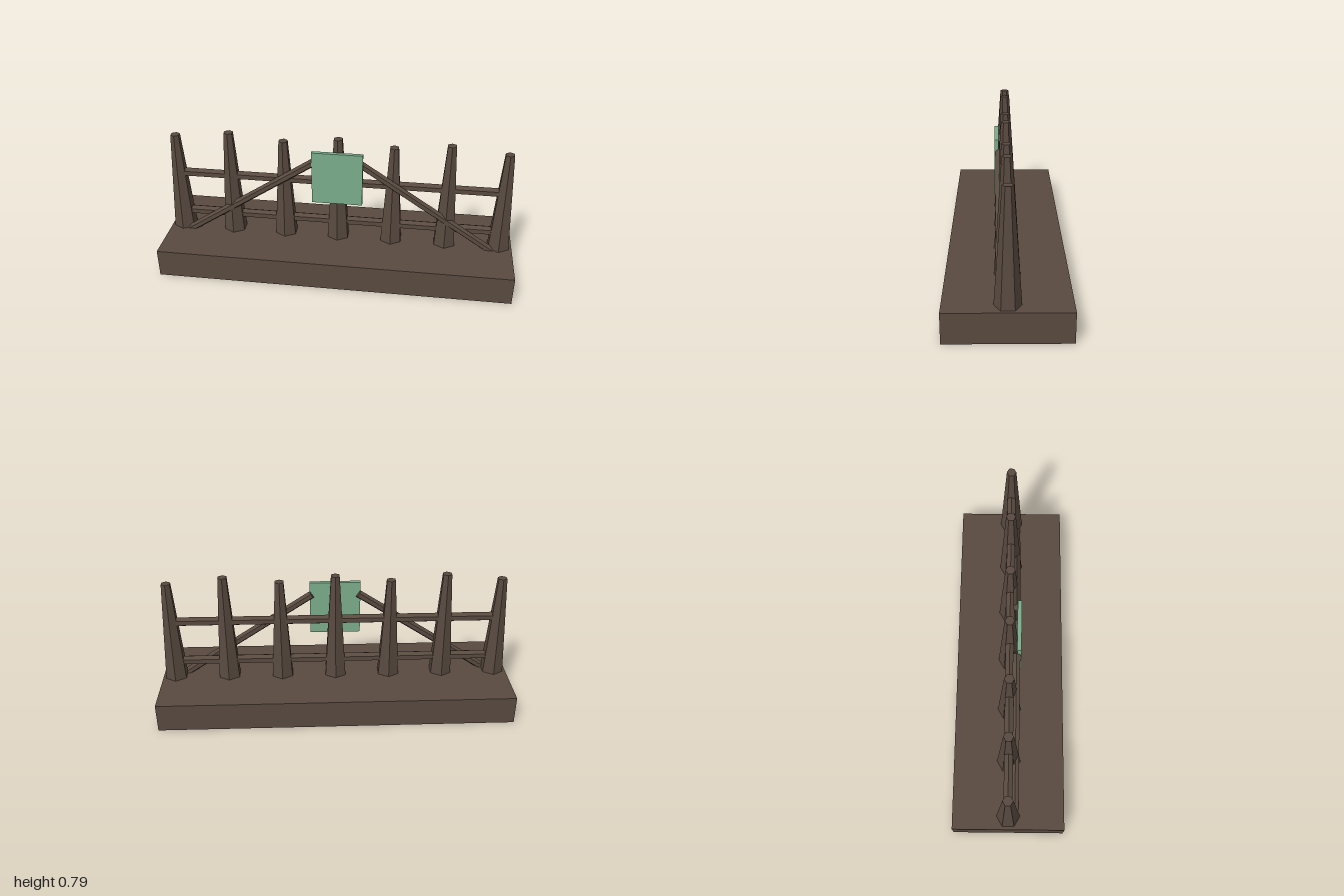
import * as THREE from 'three';

export function createModel() {
  const group = new THREE.Group();
  const mat = (name, color) => {
    const m = new THREE.MeshStandardMaterial({ color, flatShading: true });
    m.name = name;
    return m;
  };
  const wood = mat('dark wood', 0x594a40);
  const green = mat('sign green', 0x7bad8b);

  const add = (name, geometry, material, x, y, z) => {
    const mesh = new THREE.Mesh(geometry, material);
    mesh.name = name;
    mesh.position.set(x, y, z);
    group.add(mesh);
    return mesh;
  };

  // Hexagonal bar between two points in an xy plane, flat side facing front
  const bar = (name, x0, y0, x1, y1, z, r) => {
    const dx = x1 - x0, dy = y1 - y0;
    const geo = new THREE.CylinderGeometry(r, r, Math.hypot(dx, dy), 6);
    geo.rotateY(Math.PI / 6);
    const mesh = add(name, geo, wood, (x0 + x1) / 2, (y0 + y1) / 2, z);
    mesh.rotation.z = Math.atan2(dy, dx) - Math.PI / 2;
  };

  // Base slab
  const baseTop = 0.163;
  add('base', new THREE.BoxGeometry(2, baseTop, 0.626), wood, 0, baseTop / 2, 0);

  // Tapered posts, alternating in height
  for (let i = -3; i <= 3; i++) {
    const top = i % 2 === 0 ? 0.787 : 0.755;
    const h = top - baseTop;
    add('post', new THREE.CylinderGeometry(0.027, 0.067, h, 6), wood,
      i * 0.308, baseTop + h / 2, 0);
  }

  // Horizontal rails
  for (const y of [0.265, 0.518]) bar('rail', -0.925, y, 0.925, y, 0, 0.027);

  // Diagonal braces, mirrored
  for (const s of [-1, 1]) bar('brace', s * 0.89, 0.15, s * 0.13, 0.656, 0.037, 0.023);

  // Sign board
  add('signBoard', new THREE.BoxGeometry(0.284, 0.313, 0.022), green, 0, 0.567, 0.052);

  return group;
}
